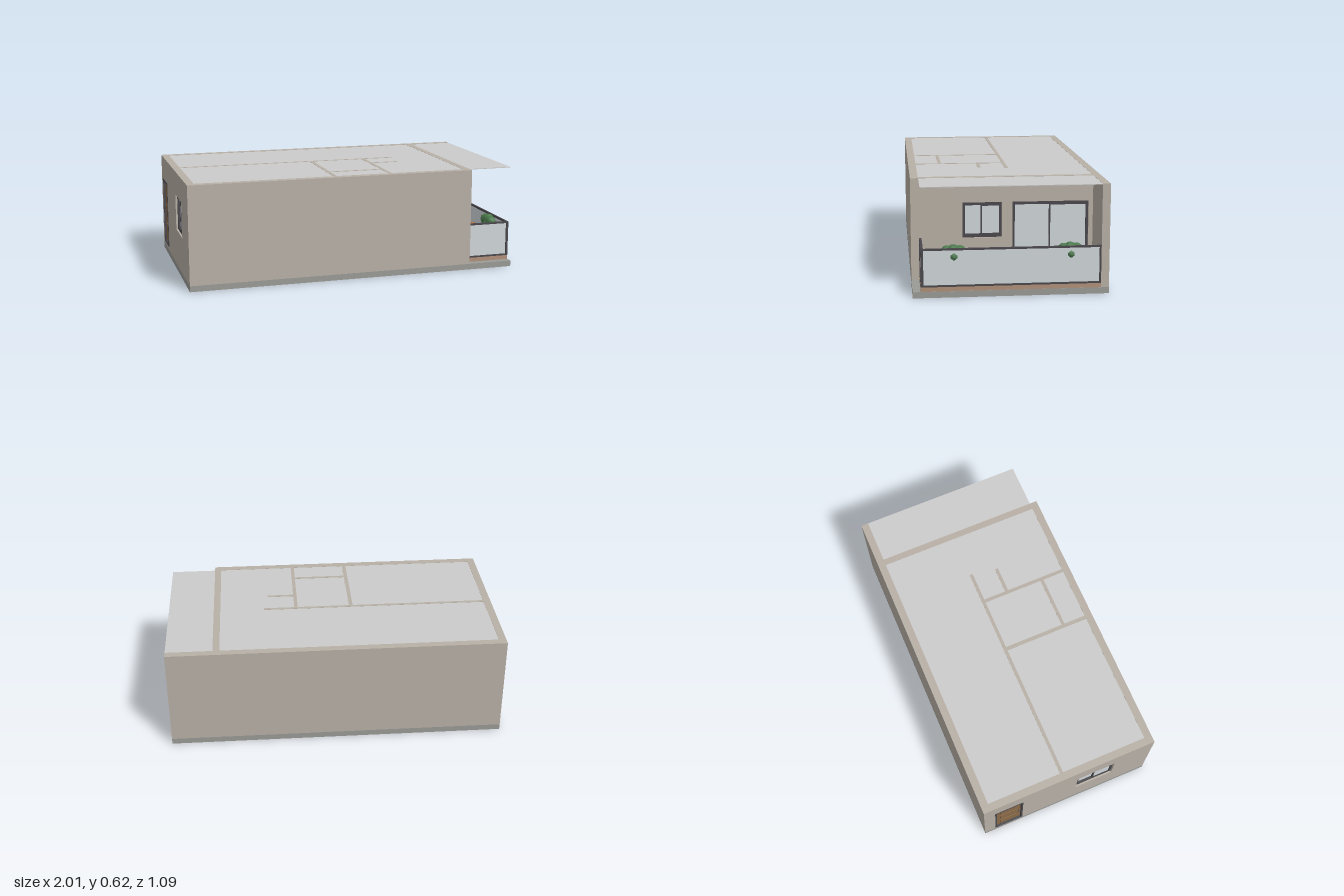
import * as THREE from 'three';

const mat = (color) => new THREE.MeshStandardMaterial({ color });
const WALL = mat(0xb8b0a6), BASE = mat(0x9a9a97), ROOF = mat(0xd0cfcd), FRAME = mat(0x4a484c);
const GLASS = mat(0xd0d6da), DECK = mat(0xb0917a), WOOD = mat(0x8a6a48), LEAF = mat(0x4a7a4c);
const DARK = mat(0x55565a), ORANGE = mat(0xc07a45);

function add(parent, name, geometry, material, x = 0, y = 0, z = 0) {
  const m = new THREE.Mesh(geometry, material);
  m.name = name;
  m.position.set(x, y, z);
  parent.add(m);
  return m;
}

// Box given by its limits on each axis
function block(parent, name, material, x0, x1, y0, y1, z0, z1) {
  return add(parent, name, new THREE.BoxGeometry(x1 - x0, y1 - y0, z1 - z0), material,
    (x0 + x1) / 2, (y0 + y1) / 2, (z0 + z1) / 2);
}

function group(parent, name, x = 0, y = 0, z = 0, ry = 0) {
  const g = new THREE.Group();
  g.name = name;
  g.position.set(x, y, z);
  g.rotation.y = ry;
  parent.add(g);
  return g;
}

// End wall with openings given as [z0, z1, y0, y1]
function endWall(parent, name, xOuter, depth, openings) {
  const rect = (T, [a, b, c, d]) => {
    const s = new T();
    s.moveTo(a, c).lineTo(b, c).lineTo(b, d).lineTo(a, d).closePath();
    return s;
  };
  const shape = rect(THREE.Shape, [-0.5, 0.5, 0.035, 0.62]);
  shape.holes = openings.map((o) => rect(THREE.Path, o));
  const geo = new THREE.ExtrudeGeometry(shape, { depth, bevelEnabled: false });
  geo.rotateY(-Math.PI / 2);
  add(parent, name, geo, WALL, xOuter);
}

// Rectangular frame with a filling, lying in the local XY plane
function framed(parent, w, h, bar, depth, cx = 0, cz = 0, fill = GLASS) {
  for (const s of [-1, 1]) {
    add(parent, 'frameRail', new THREE.BoxGeometry(w, bar, depth), FRAME, cx, s * (h - bar) / 2, cz);
    add(parent, 'frameStile', new THREE.BoxGeometry(bar, h - 2 * bar, depth), FRAME, cx + s * (w - bar) / 2, 0, cz);
  }
  if (fill) add(parent, 'pane', new THREE.BoxGeometry(w - 2 * bar, h - 2 * bar, depth * 0.3), fill, cx, 0, cz);
}

// Window with a fixed pane on one half and a sliding sash on the other
function slidingWindow(parent, name, x, [z0, z1, y0, y1], ry) {
  const w = z1 - z0, h = y1 - y0, bar = 0.015;
  const g = group(parent, name, x, (y0 + y1) / 2, (z0 + z1) / 2, ry);
  framed(g, w, h, bar, 0.022, 0, 0, null);
  framed(g, w / 2, h - 2 * bar, 0.005, 0.01, -w / 4 + bar / 2, -0.003);
  framed(g, w / 2, h - 2 * bar, 0.008, 0.01, w / 4 - bar / 2, 0.005);
}

function planter(parent, z) {
  const g = group(parent, 'planter', 0.948, 0.06, z);
  add(g, 'pot', new THREE.CylinderGeometry(0.028, 0.02, 0.13, 10), DECK, 0, 0.065, 0);
  const bush = new THREE.SphereGeometry(0.036, 8, 6);
  for (const [x, y, dz, s] of [[0, 0.19, 0, 1.05], [-0.003, 0.187, 0.037, 0.95],
    [-0.003, 0.187, -0.037, 0.95], [-0.012, 0.165, 0.015, 0.9]]) {
    add(g, 'foliage', bush, LEAF, x, y, dz).scale.setScalar(s);
  }
  add(g, 'foliageTip', new THREE.SphereGeometry(0.024, 6, 5), LEAF, 0.034, 0.167, 0);
}

function chair(parent, z, ry) {
  const g = group(parent, 'chair', 0.87, 0.06, z, ry);
  block(g, 'chairSeat', ORANGE, -0.035, 0.035, 0.075, 0.085, -0.035, 0.035);
  block(g, 'chairBack', ORANGE, -0.035, 0.035, 0.1, 0.15, -0.035, -0.027);
  for (const sx of [-1, 1]) {
    for (const sz of [-1, 1]) {
      block(g, 'chairLeg', DARK, sx * 0.03 - 0.003, sx * 0.03 + 0.003, 0, sz < 0 ? 0.12 : 0.075,
        sz * 0.03 - 0.003, sz * 0.03 + 0.003);
    }
  }
}

export function createModel() {
  const model = new THREE.Group();
  model.name = 'apartment';

  // Slab, long walls, roof
  block(model, 'baseSlab', BASE, -1, 1, 0, 0.035, -0.545, 0.545);
  block(model, 'backWall', WALL, -1, 1, 0.035, 0.62, -0.545, -0.5);
  block(model, 'frontWall', WALL, -1, 0.725, 0.035, 0.62, 0.5, 0.545);
  block(model, 'roofPanel', ROOF, -0.955, 1, 0.615, 0.619, -0.5, 0.5);
  block(model, 'interiorFloor', DECK, -0.955, 0.685, 0.035, 0.058, -0.5, 0.5);

  // End walls and their openings
  const door = [-0.475, -0.295, 0.06, 0.475], sideWindow = [0.06, 0.3, 0.26, 0.475];
  const smallWindow = [0.025, 0.25, 0.27, 0.475], patioDoor = [-0.475, -0.035, 0.06, 0.475];
  endWall(model, 'entranceWall', -0.955, 0.045, [door, sideWindow]);
  endWall(model, 'balconyWall', 0.725, 0.04, [smallWindow, patioDoor]);
  slidingWindow(model, 'sideWindow', -0.978, sideWindow, -Math.PI / 2);
  slidingWindow(model, 'balconyWindow', 0.703, smallWindow, Math.PI / 2);
  slidingWindow(model, 'patioDoor', 0.703, patioDoor, Math.PI / 2);

  // Entrance door with raised panels and handle
  const entrance = group(model, 'entranceDoor', -0.985, 0.2675, -0.385, -Math.PI / 2);
  framed(entrance, 0.18, 0.415, 0.01, 0.036, 0, 0, WOOD);
  for (const y of [-0.125, 0, 0.125]) {
    add(entrance, 'doorPanel', new THREE.BoxGeometry(0.11, 0.095, 0.004), WOOD, 0, y, 0.007);
  }
  add(entrance, 'doorHandle', new THREE.BoxGeometry(0.006, 0.03, 0.01), DARK, 0.067, -0.01, 0.01);

  // Inner partitions, flush with the wall tops
  for (const [x0, x1, z0, z1] of [[-0.955, 0.415, -0.045, -0.025], [-0.135, -0.112, -0.025, 0.5],
    [0.207, 0.228, -0.025, 0.5], [-0.112, 0.207, 0.345, 0.365], [0.228, 0.39, 0.115, 0.135]]) {
    block(model, 'partition', WALL, x0, x1, 0.058, 0.62, z0, z1);
  }

  // Balcony deck and glazed railing
  block(model, 'balconyDeck', DECK, 0.725, 0.998, 0.035, 0.06, -0.5, 0.5);
  const longRail = group(model, 'longRailing', 0.992, 0.1675, 0, Math.PI / 2);
  framed(longRail, 1, 0.215, 0.01, 0.014);
  const shortRail = group(model, 'shortRailing', 0.8625, 0.1675, 0.492);
  framed(shortRail, 0.27, 0.215, 0.01, 0.014);

  // Balcony planting and furniture
  planter(model, 0.317);
  planter(model, -0.332);
  const table = group(model, 'table', 0.87, 0.06, 0.07);
  add(table, 'tableTop', new THREE.CylinderGeometry(0.055, 0.055, 0.008, 20), DARK, 0, 0.145, 0);
  add(table, 'tableLeg', new THREE.CylinderGeometry(0.006, 0.006, 0.14, 10), DARK, 0, 0.07, 0);
  add(table, 'tableFoot', new THREE.CylinderGeometry(0.03, 0.03, 0.006, 16), DARK, 0, 0.003, 0);
  chair(model, -0.03, 0);
  chair(model, 0.17, Math.PI);

  return model;
}
